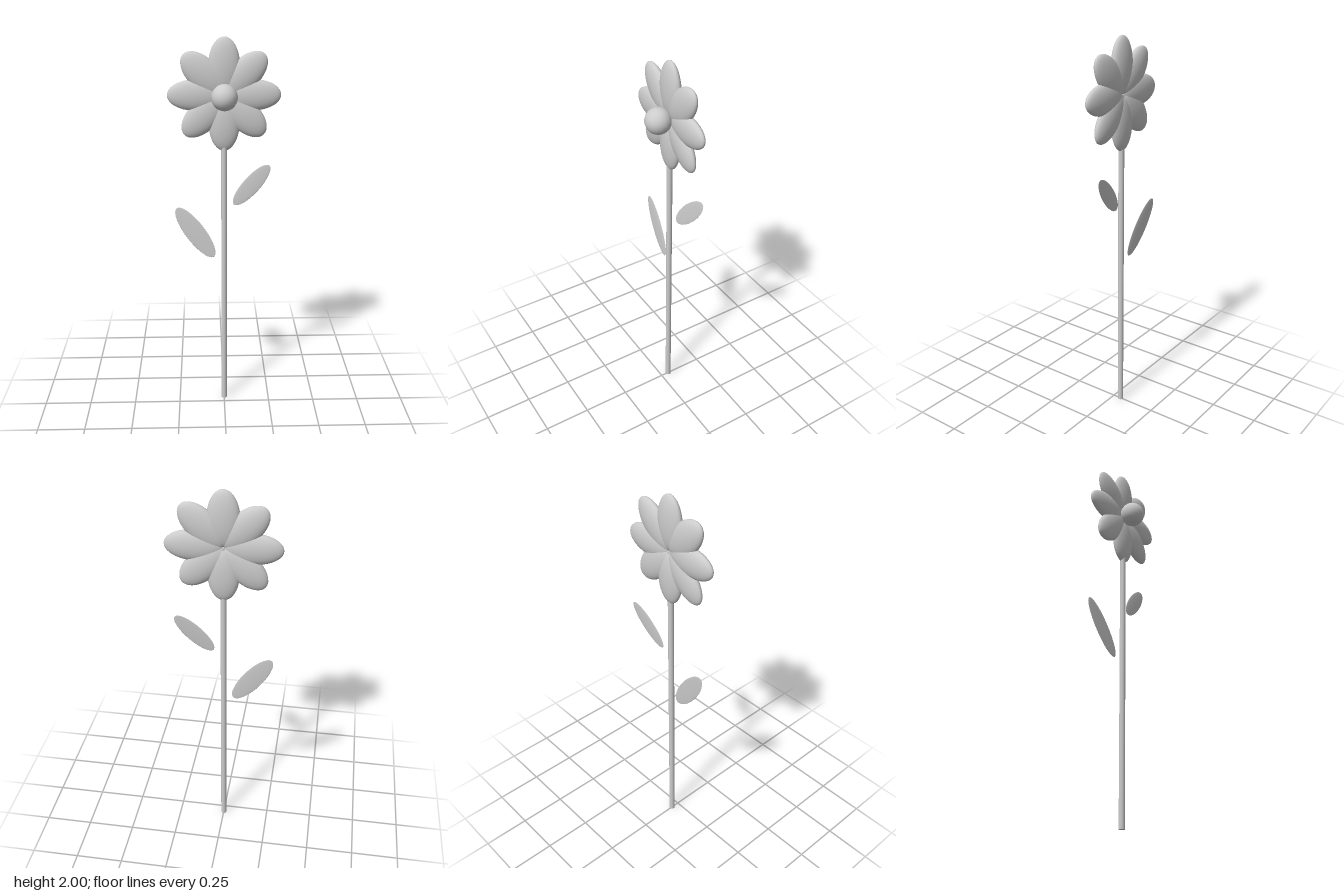
import * as THREE from 'three';

const PLANE_Z = -0.047; // depth of the stem and petal ring
const HEAD_Y = 1.72;

export function createModel() {
  const model = new THREE.Group();
  model.name = 'flower';
  const grey = new THREE.MeshStandardMaterial({ color: 0xcccccc });
  grey.name = 'plain grey';

  const add = (name, geometry, parent = model) => {
    const mesh = new THREE.Mesh(geometry, grey);
    mesh.name = name;
    parent.add(mesh);
    return mesh;
  };

  // Stem runs up to the middle of the petal ring
  const stem = add('stem', new THREE.CylinderGeometry(0.015, 0.015, HEAD_Y, 16));
  stem.position.set(0, HEAD_Y / 2, PLANE_Z + 0.002);

  // Eight flattened petals whose inner tips meet at the centre
  const petals = new THREE.Group();
  petals.name = 'petals';
  petals.position.set(0, HEAD_Y, PLANE_Z);
  model.add(petals);
  const petalGeometry = new THREE.SphereGeometry(1, 32, 20);
  petalGeometry.scale(0.077, 0.139, 0.033);
  petalGeometry.translate(0, 0.141, 0);
  for (let i = 0; i < 8; i++) {
    add('petal', petalGeometry, petals).rotation.z = (i * Math.PI) / 4;
  }

  // Round centre in front of the petals
  add('flowerCentre', new THREE.SphereGeometry(0.065, 18, 14))
    .position.set(0, HEAD_Y, 0.019);

  // Thin leaves, the upper ends leaning backwards
  const addLeaf = (name, side, centre, length, width, angle, lean) => {
    const geometry = new THREE.SphereGeometry(1, 28, 16);
    geometry.scale(width, length, 0.003);
    geometry.rotateX(-lean);
    geometry.rotateZ(-side * (Math.PI / 2 - angle));
    add(name, geometry).position.set(...centre);
  };
  addLeaf('leftLeaf', 1, [0.142, 1.25, -0.07], 0.136, 0.045, 0.83, 0.105);
  addLeaf('rightLeaf', -1, [-0.15, 0.993, -0.064], 0.165, 0.052, 0.95, 0.06);

  return model;
}
